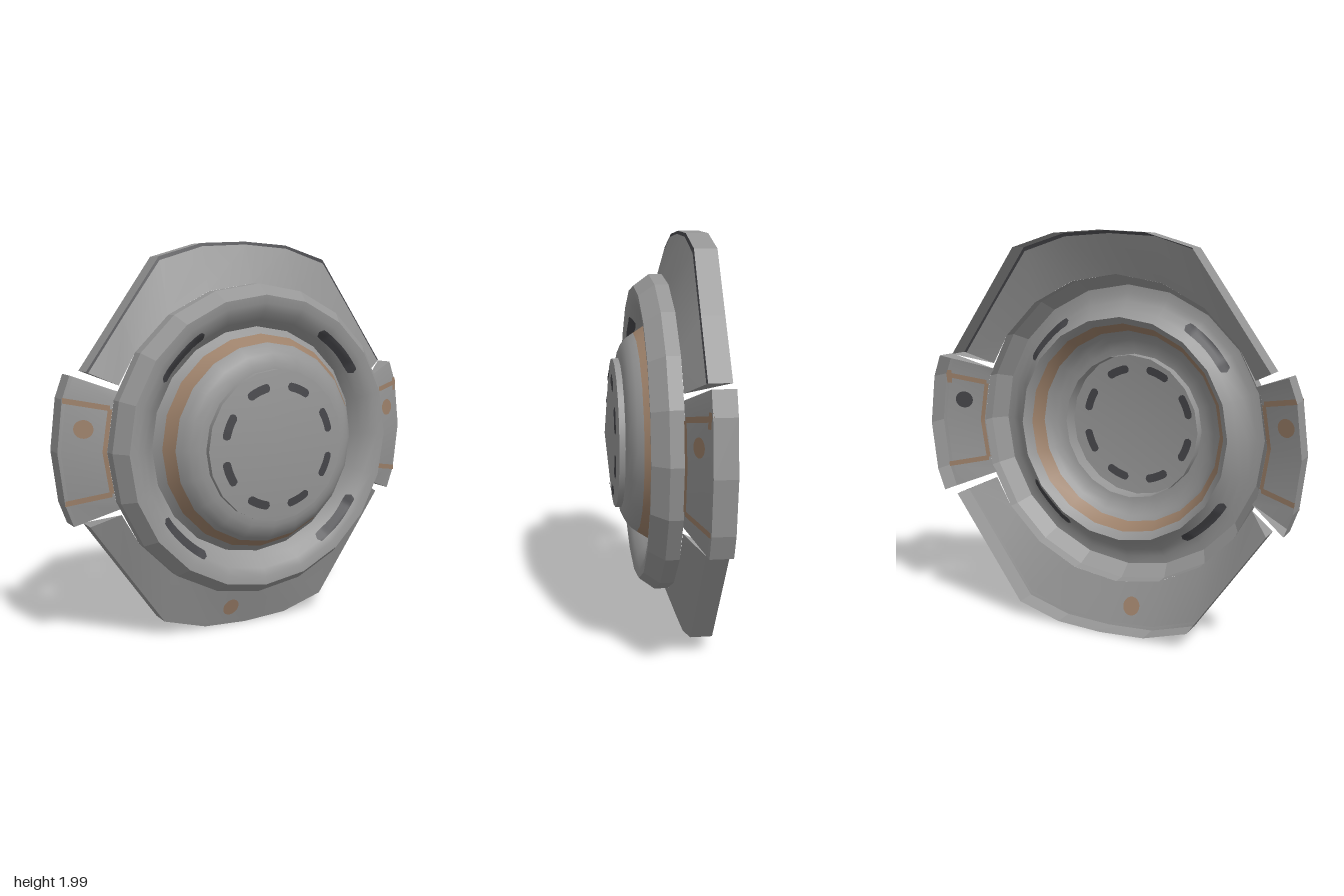
import * as THREE from 'three';
import { toCreasedNormals } from 'three/addons/utils/BufferGeometryUtils.js';

const SIDES = 20;

export function createModel() {
  const material = (name, color) => {
    const m = new THREE.MeshStandardMaterial({ color, side: THREE.DoubleSide });
    m.name = name;
    return m;
  };
  const grey = material('grey metal', 0x969696);
  const brown = material('worn brown', 0x9c8069);
  const dark = material('dark slot', 0x46464a);

  const group = new THREE.Group();
  const body = new THREE.Group();
  body.name = 'wheelCover';
  body.position.y = 0.995;
  group.add(body);

  const add = (name, geometry, mat, crease = 0.5) => {
    const mesh = new THREE.Mesh(toCreasedNormals(geometry, crease), mat);
    mesh.name = name;
    body.add(mesh);
    return mesh;
  };

  // Turned shell piece from [radius, z] points, facing +z
  const turned = (name, profile, mat, crease) => {
    const pts = profile.map(([r, z]) => new THREE.Vector2(r, z)).reverse();
    add(name, new THREE.LatheGeometry(pts, SIDES).rotateX(Math.PI / 2), mat, crease);
  };

  // Surface through rows of equally many points
  const loft = (rows) => {
    const n = rows[0].length, index = [];
    for (let i = 0; i < rows.length - 1; i++) {
      for (let j = 0; j < n - 1; j++) {
        const a = i * n + j, b = a + n;
        index.push(a, b, a + 1, b, b + 1, a + 1);
      }
    }
    const g = new THREE.BufferGeometry();
    g.setAttribute('position', new THREE.Float32BufferAttribute(rows.flat(2), 3));
    g.setIndex(index);
    return g;
  };

  // Thin painted patch following a surface; at(u, v) gives [x, y], u and v in -1..1
  const patch = (name, at, zAt, front, back = front, nu = 14, nv = 2) => {
    for (const [offset, mat] of [[0.004, front], [-0.004, back]]) {
      const rows = [];
      for (let i = 0; i <= nu; i++) {
        const row = [];
        for (let j = 0; j <= nv; j++) {
          const [x, y] = at(-1 + 2 * i / nu, -1 + 2 * j / nv);
          row.push([x, y, zAt(x, y) + offset]);
        }
        rows.push(row);
      }
      add(name, loft(rows), mat);
    }
  };

  // Height of a turned profile at x, y, allowing for its flat facets
  const heightOn = (profile) => (x, y) => {
    const step = 2 * Math.PI / SIDES;
    const a = Math.atan2(y, x);
    const d = a - (Math.floor(a / step) + 0.5) * step;
    const r = Math.hypot(x, y) * Math.cos(d) / Math.cos(step / 2);
    for (let i = 1; i < profile.length; i++) {
      const [r0, z0] = profile[i - 1], [r1, z1] = profile[i];
      if (r <= r1) return z0 + (z1 - z0) * (r - r0) / (r1 - r0);
    }
    return profile[profile.length - 1][1];
  };

  // Central cap with its skirt
  const cap = [[0, 0.237], [0.375, 0.195]];
  turned('centreCap', cap, grey);
  turned('capSkirt', [[0.375, 0.195], [0.375, 0.11]], grey);

  // Rounded shoulder, brown groove wall, dished face and outer ring
  const dish = [[0.575, -0.01], [0.61, 0.035], [0.65, 0.07], [0.69, 0.086], [0.73, 0.09]];
  turned('shoulder', [[0.375, 0.166], [0.41, 0.162], [0.45, 0.144], [0.48, 0.12], [0.5, 0.092]], grey);
  turned('grooveBand', [[0.5, 0.092], [0.54, 0.03]], brown);
  turned('grooveFloor', [[0.54, 0.03], [0.575, -0.01]], grey);
  turned('dishedFace', dish, grey);
  turned('outerRing', [[0.73, 0.09], [0.785, 0.015], [0.785, -0.05]], grey, 0.1);

  // Curved slots with rounded ends
  const slot = (name, angle, radius, halfLength, halfWidth, zAt) => {
    patch(name, (u, v) => {
      const over = Math.max(0, Math.abs(u) * halfLength - (halfLength - halfWidth)) / halfWidth;
      const w = halfWidth * Math.sqrt(Math.max(0, 1 - over * over));
      const a = angle + u * halfLength / radius, r = radius + v * w;
      return [r * Math.cos(a), r * Math.sin(a)];
    }, zAt, dark, dark, 24, 4);
  };
  for (let i = 0; i < 8; i++) {
    slot('capSlot', (i + 0.5) * Math.PI / 4, 0.295, 0.065, 0.021, heightOn(cap));
  }
  for (let i = 0; i < 4; i++) {
    slot('dishSlot', (i + 0.5) * Math.PI / 2, 0.632, 0.155, 0.021, heightOn(dish));
  }

  // Hollow flange section: sloping face, optional edge trim, rim wall and end walls
  const Z_IN = -0.05, Z_RIM = -0.13, Z_BACK = -0.235;
  const flange = (name, inner, outer, trim) => {
    const a = inner.map(([x, y]) => [x, y, Z_IN]);
    const b = outer.map(([x, y]) => [x, y, Z_RIM]);
    const c = outer.map(([x, y]) => [x, y, Z_BACK]);
    const mid = a.map((p, i) => p.map((v, k) => v + (b[i][k] - v) * 0.93));
    add(name + 'Face', loft([a, mid]), grey);
    add(name + 'Edge', loft([mid, b]), trim);
    add(name + 'Rim', loft([b, c]), grey, 0.2);
    for (const i of [0, a.length - 1]) {
      const g = new THREE.BufferGeometry();
      g.setAttribute('position', new THREE.Float32BufferAttribute([a[i], b[i], c[i]].flat(), 3));
      add(name + 'EndWall', g, grey);
    }
  };
  const mirrorX = (half) => [...half, ...half.slice(0, -1).reverse().map(([x, y]) => [-x, y])];
  const mirrorY = (half) => [...half, ...half.slice(0, -1).reverse().map(([x, y]) => [x, -y])];
  const flip = (pts, sx, sy) => pts.map(([x, y]) => [x * sx, y * sy]);

  // Large upper and lower flanges
  const bigIn = mirrorX([[0.72, 0.31], [0.635, 0.461], [0.461, 0.635], [0.243, 0.747], [0, 0.785]]);
  const bigOut = mirrorX([[0.85, 0.372], [0.665, 0.635], [0.47, 0.912], [0.24, 0.98], [0, 0.993]]);
  flange('upperFlange', bigIn, bigOut, dark);
  flange('lowerFlange', flip(bigIn, 1, -1), flip(bigOut, 1, -1), grey);

  // Side tabs with brown frame and spot
  const tabIn = mirrorY([[0.72, 0.28], [0.747, 0.243], [0.785, 0]]);
  const tabOut = mirrorY([[0.93, 0.36], [0.97, 0.25], [1, 0]]);
  const tabZ = (x, y) => {
    const k = Math.abs(y) / 0.243;
    const xi = 0.785 - 0.038 * k, xo = 1 - 0.03 * k;
    return Z_IN + (Z_RIM - Z_IN) * (Math.abs(x) - xi) / (xo - xi);
  };
  const disc = (cx, cy, r) => (u, v) => {
    const a = (u + 1) * Math.PI, q = r * (v + 1) / 2;
    return [cx + q * Math.cos(a), cy + q * Math.sin(a)];
  };
  for (const s of [1, -1]) {
    const name = s > 0 ? 'leftTab' : 'rightTab';
    flange(name, flip(tabIn, s, 1), flip(tabOut, s, 1), grey);
    for (const t of [1, -1]) {
      patch(name + 'Stripe', (u, v) => {
        const k = (u + 1) / 2;
        return [s * (0.765 + 0.205 * k), t * (0.205 + 0.04 * k + v * 0.013)];
      }, tabZ, brown);
    }
    patch(name + 'InnerStripe', (u, v) => {
      const y = 0.2 * u;
      return [s * (0.797 - 0.156 * Math.abs(y) + 0.01 * v), y];
    }, tabZ, brown);
    if (s > 0) {
      patch(name + 'OuterStripe', (u, v) => [0.955 + 0.012 * v, 0.235 + 0.035 * u], tabZ, brown);
    }
    patch(name + 'Spot', disc(s * 0.885, 0.11, 0.044), tabZ, brown, s > 0 ? dark : brown, 20);
  }

  // Spot on the lower flange
  patch('lowerSpot', disc(-0.11, -0.885, 0.045),
    (x, y) => Z_IN + (Z_RIM - Z_IN) * (-y - 0.768) / 0.219, brown, brown, 20);

  return group;
}
